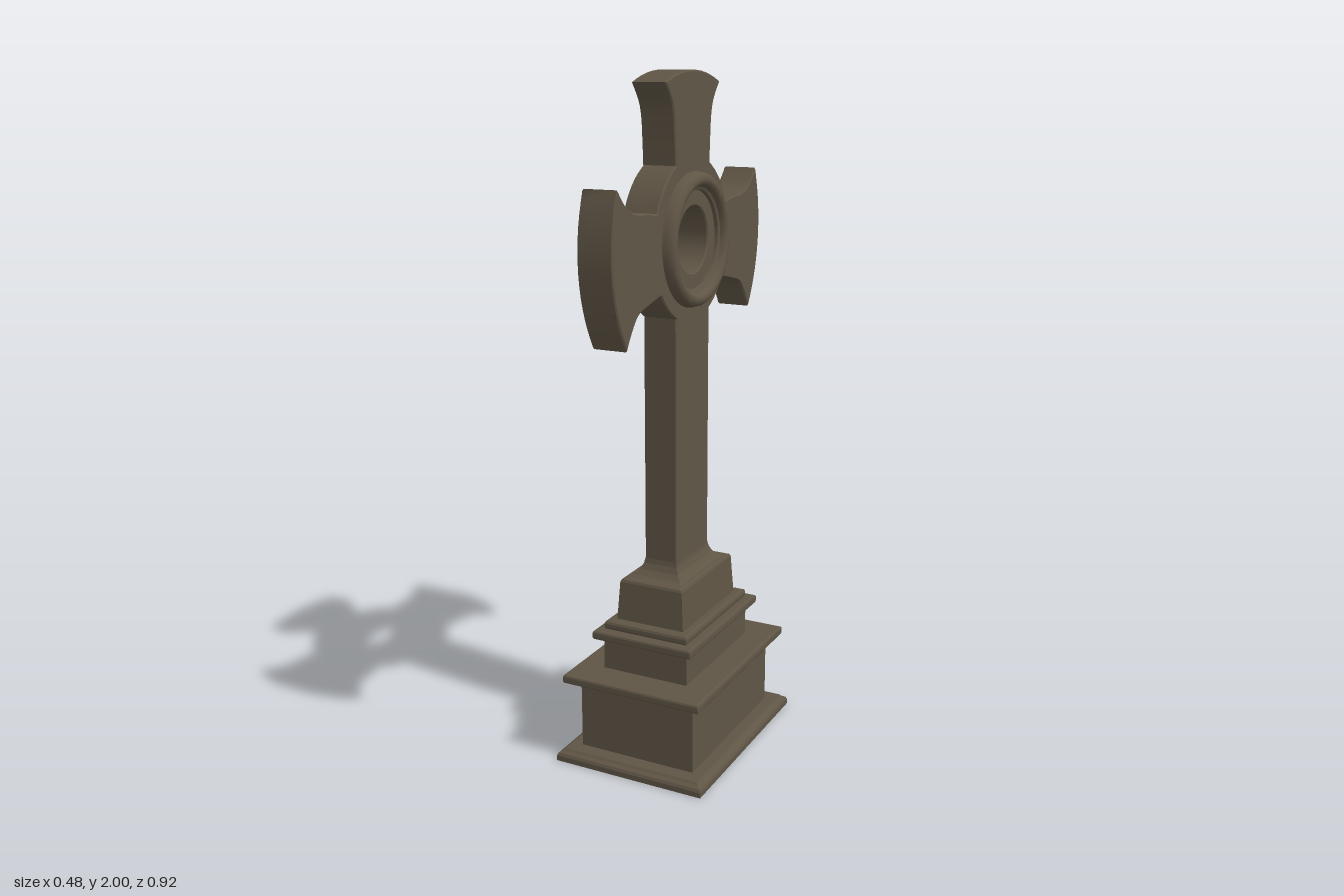
import * as THREE from 'three';
import { toCreasedNormals } from 'three/addons/utils/BufferGeometryUtils.js';

const CENTER_Y = 1.538; // centre of the cross head
const HEAD_R = 0.462; // radius of the arm ends
const DISC_R = 0.235; // radius of the disc joining the arms

// Flat-faced block lofted through rectangular sections [y, halfX, halfZ]
function rectLoft(sections) {
  const pos = [], idx = [];
  for (const [y, hx, hz] of sections) {
    pos.push(hx, y, hz, hx, y, -hz, -hx, y, -hz, -hx, y, hz);
  }
  for (let s = 0; s < sections.length - 1; s++) {
    for (let i = 0; i < 4; i++) {
      const a = s * 4 + i, b = s * 4 + (i + 1) % 4;
      idx.push(a, b, b + 4, a, b + 4, a + 4);
    }
  }
  const t = (sections.length - 1) * 4;
  idx.push(t, t + 1, t + 2, t, t + 2, t + 3, 0, 2, 1, 0, 3, 2);
  const g = new THREE.BufferGeometry();
  g.setAttribute('position', new THREE.Float32BufferAttribute(pos, 3));
  g.setIndex(idx);
  const flat = g.toNonIndexed();
  flat.computeVertexNormals();
  return flat;
}

// Slab with softened top and bottom edges
function slab(y0, y1, hx, hz, r = 0.007) {
  const k = r * 0.3;
  return rectLoft([
    [y0, hx - r, hz - r], [y0 + k, hx - k, hz - k], [y0 + r, hx, hz],
    [y1 - r, hx, hz], [y1 - k, hx - k, hz - k], [y1, hx - r, hz - r],
  ]);
}

// Right half of the outline, mirrored into the whole cross
function crossShape() {
  const rad = THREE.MathUtils.degToRad;
  const v = (x, y) => new THREE.Vector2(x, y);
  const pts = [v(0.105, 0.57)];
  const arc = (r, a0, a1, n) => {
    for (let i = 0; i <= n; i++) {
      const a = rad(a0 + (a1 - a0) * i / n);
      pts.push(v(r * Math.cos(a), CENTER_Y + r * Math.sin(a)));
    }
  };
  const curve = (...p) => pts.push(...new THREE.SplineCurve(p).getPoints(12).slice(1, -1));
  arc(DISC_R, -63.4, -34, 6);
  curve(pts.at(-1), v(0.26, 1.392), v(0.318, 1.376), v(0.35, 1.347), v(0.39, 1.288));
  arc(HEAD_R, -32.7, 21.8, 14);
  curve(pts.at(-1), v(0.385, 1.665), v(0.335, 1.642), v(0.27, 1.637), v(0.217, 1.628));
  arc(DISC_R, 23, 63.4, 8);
  curve(pts.at(-1), v(0.109, 1.81), v(0.115, 1.875), v(0.13, 1.92), v(0.167, 1.967));
  arc(HEAD_R, 68.8, 90, 6);
  pts.pop();
  const left = pts.map((p) => v(-p.x, p.y)).reverse();
  const shape = new THREE.Shape([...pts, v(0, CENTER_Y + HEAD_R), ...left]);
  shape.holes.push(new THREE.Path().absarc(0, CENTER_Y, 0.094, 0, Math.PI * 2, true));
  return shape;
}

export function createModel() {
  const model = new THREE.Group();
  model.name = 'stoneCross';
  const stone = new THREE.MeshStandardMaterial({ color: 0x5f5545 });
  stone.name = 'weatheredStone';
  const add = (name, geometry) => {
    const mesh = new THREE.Mesh(geometry, stone);
    mesh.name = name;
    model.add(mesh);
    return mesh;
  };

  // Stepped base
  add('plinth', rectLoft([
    [0, 0.238, 0.325], [0.016, 0.238, 0.325], [0.024, 0.234, 0.321],
    [0.03, 0.224, 0.311], [0.036, 0.218, 0.305],
  ]));
  add('lowerBlock', rectLoft([[0.03, 0.184, 0.264], [0.255, 0.184, 0.264]]));
  add('lowerLedge', slab(0.248, 0.276, 0.221, 0.308));
  add('middleBlock', rectLoft([[0.27, 0.136, 0.209], [0.375, 0.136, 0.209]]));
  add('upperLedge', slab(0.372, 0.4, 0.16, 0.236));
  add('upperStep', slab(0.398, 0.426, 0.135, 0.208, 0.009));
  add('taperedBlock', rectLoft([
    [0.42, 0.109, 0.177], [0.542, 0.101, 0.17], [0.549, 0.098, 0.167], [0.552, 0.091, 0.16],
  ]));
  add('shaftFlare', rectLoft([
    [0.55, 0.087, 0.145], [0.558, 0.075, 0.131], [0.572, 0.062, 0.117],
    [0.59, 0.054, 0.108], [0.605, 0.051, 0.105],
  ]));

  // Shaft and flared arms cut from one slab, with the hole through the centre
  const bevel = 0.004;
  const cross = new THREE.ExtrudeGeometry(crossShape(), {
    depth: 0.104 - 2 * bevel, curveSegments: 32,
    bevelEnabled: true, bevelThickness: bevel, bevelSize: bevel, bevelOffset: -bevel, bevelSegments: 1,
  });
  cross.translate(0, 0, -0.052 + bevel);
  cross.rotateY(-Math.PI / 2);
  add('crossSlab', toCreasedNormals(cross, 0.6));

  // Raised ring moulding on each face of the head
  const profile = [
    [0.192, 0.045], [0.189, 0.062], [0.185, 0.075], [0.177, 0.083], [0.167, 0.085],
    [0.158, 0.083], [0.152, 0.076], [0.148, 0.066], [0.14, 0.062], [0.138, 0.045],
  ].map(([r, h]) => new THREE.Vector2(r, h)).reverse();
  // Lathe faces point outwards when the profile runs from outside to inside
  const ring = toCreasedNormals(new THREE.LatheGeometry(profile.reverse(), 56), 0.7);
  for (const side of [1, -1]) {
    const mesh = add(side > 0 ? 'leftRing' : 'rightRing', ring);
    mesh.position.y = CENTER_Y;
    mesh.rotation.z = -side * Math.PI / 2;
  }
  return model;
}
